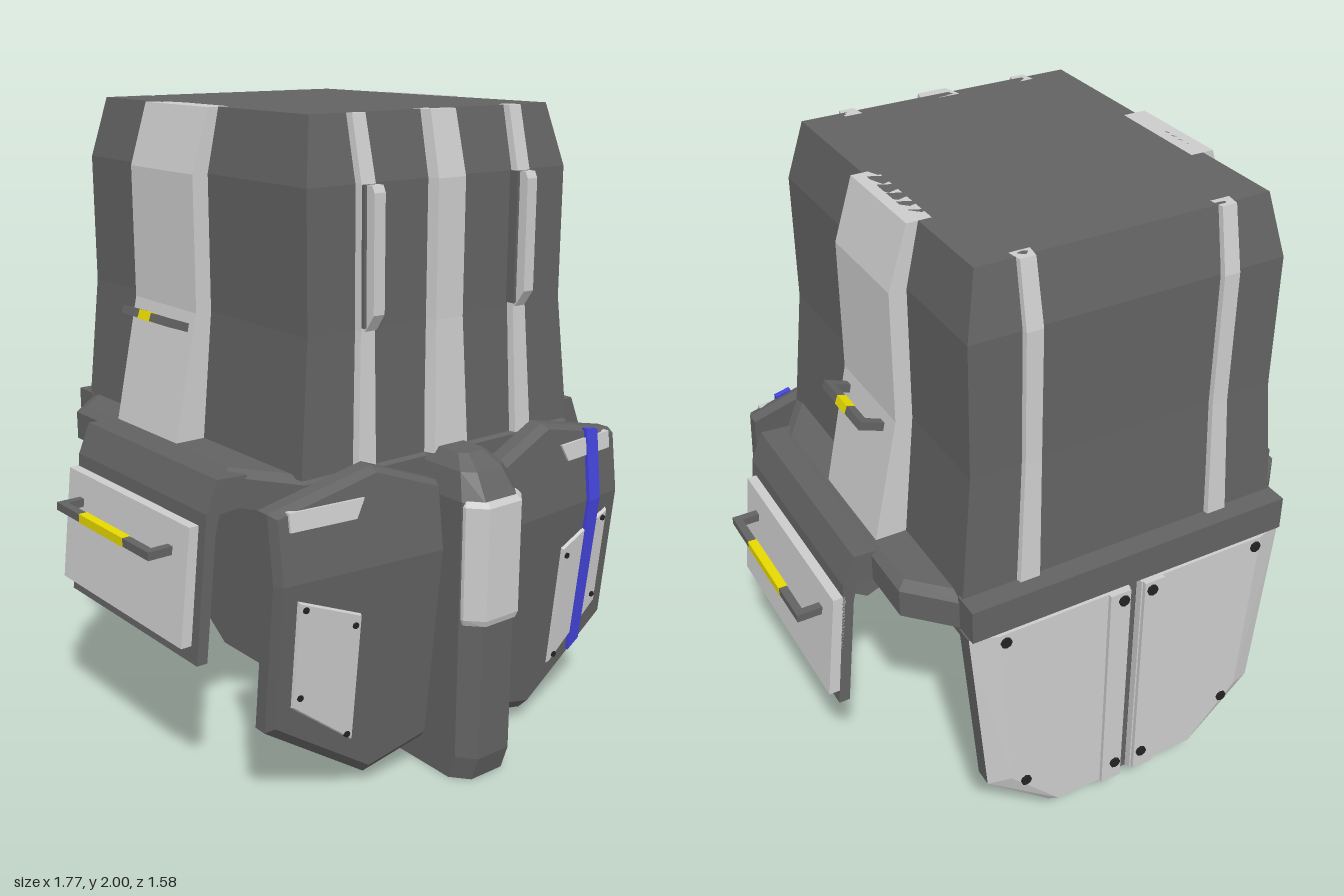
import * as THREE from 'three';

const mat = (color) => new THREE.MeshStandardMaterial({ color, flatShading: true });

// Solid through equal-sized rings of [x, y, z]; caps fan out from the ring centres (or given centres).
function loft(rings, centers = []) {
  const tris = [], n = rings[0].length;
  const mid = (r) => [0, 1, 2].map((k) => r.reduce((s, p) => s + p[k], 0) / n);
  for (let i = 0; i < rings.length - 1; i++) {
    for (let j = 0; j < n; j++) {
      const a = rings[i][j], b = rings[i][(j + 1) % n];
      const c = rings[i + 1][(j + 1) % n], d = rings[i + 1][j];
      tris.push([a, b, c], [a, c, d]);
    }
  }
  const first = rings[0], last = rings[rings.length - 1];
  const c0 = centers[0] || mid(first), c1 = centers[1] || mid(last);
  for (let j = 0; j < n; j++) {
    const k = (j + 1) % n;
    tris.push([c0, first[k], first[j]], [c1, last[j], last[k]]);
  }
  // a negative volume means the faces point inwards
  let volume = 0;
  for (const [a, b, c] of tris) {
    volume += a[0] * (b[1] * c[2] - b[2] * c[1]) + a[1] * (b[2] * c[0] - b[0] * c[2]) + a[2] * (b[0] * c[1] - b[1] * c[0]);
  }
  if (volume < 0) tris.forEach((t) => t.reverse());
  const g = new THREE.BufferGeometry();
  g.setAttribute('position', new THREE.Float32BufferAttribute(tris.flat(2), 3));
  g.computeVertexNormals();
  return g;
}

export function createModel() {
  const root = new THREE.Group();
  const model = new THREE.Group();
  model.name = 'pack';
  model.position.x = 0.012;
  root.add(model);
  const dark = mat(0x626262), light = mat(0xc0c0c0), black = mat(0x222222);
  const yellow = mat(0xe6d800), blue = mat(0x4444dd);

  const add = (name, geometry, material, parent = model) => {
    const m = new THREE.Mesh(geometry, material);
    m.name = name;
    parent.add(m);
    return m;
  };
  const bolt = (x, y, z, r) => {
    const m = add('bolt', new THREE.CylinderGeometry(r, r, 0.014, 8), black);
    m.rotation.x = Math.PI / 2;
    m.position.set(x, y, z);
  };

  // Tower: y, half width, back z, front z
  const levels = [[2, 0.455, -0.635, 0.455], [1.81, 0.497, -0.675, 0.5], [1.4, 0.497, -0.675, 0.5], [1, 0.535, -0.69, 0.52]];
  add('tower', loft(levels.map(([y, w, b, f]) => [[-w, y, b], [w, y, b], [w, y, f], [-w, y, f]])), dark);

  // Ribs running down the front and back faces of the tower
  const rib = (name, x, half, depth, back) => {
    const widen = [0.92, 1, 1, 1.25];
    add(name, loft(levels.map(([y, , b, f], i) => {
      const s = back ? -1 : 1, z = back ? b : f, h = half * widen[i], cx = x * (1 + 0.05 * (i === 3));
      return [[cx - h, y, z - s * 0.03], [cx + h, y, z - s * 0.03], [cx + h * 0.75, y, z + s * depth], [cx - h * 0.75, y, z + s * depth]];
    })), light);
  };
  rib('centreRib', 0, 0.07, 0.035, false);
  for (const s of [-1, 1]) {
    rib('frontRib', s * 0.3, 0.034, 0.022, false);
    rib('backRib', s * 0.31, 0.034, 0.016, true);
    // Thicker upper length of each front rib, in a thin dark surround
    add('ribFrame', new THREE.BoxGeometry(0.058, 0.4, 0.05), dark).position.set(s * 0.295, 1.61, 0.508);
    const pad = (y, z) => [[-0.02, y, 0.49], [0.02, y, 0.49], [0.02, y, z], [-0.02, y, z]];
    add('ribPad', loft([pad(1.81, 0.555), pad(1.79, 0.565), pad(1.45, 0.565), pad(1.4, 0.53)]), light).position.x = s * 0.295;
  }

  // Grab handle reaching out along local +x, with a coloured grip
  const handle = (s, x, y, z, length, reach, grip, tilt) => {
    const g = new THREE.Group();
    g.name = 'handle';
    const t = 0.026;
    add('bar', new THREE.BoxGeometry(t, t, length), dark, g).position.x = reach - t / 2;
    add('grip', new THREE.BoxGeometry(t * 1.1, t * 1.1, grip), yellow, g).position.x = reach - t / 2;
    for (const e of [-1, 1]) {
      add('leg', new THREE.BoxGeometry(reach, t, t), dark, g).position.set(reach / 2, 0, e * (length - t) / 2);
    }
    g.position.set(s * x, y, z);
    g.rotation.set(0, s < 0 ? Math.PI : 0, s * tilt, 'ZYX');
    model.add(g);
  };

  const sideWidths = [0.49, 0.55, 0.55, 0.635];
  for (const s of [-1, 1]) {
    // Broad raised band on each side of the tower
    add('sideBand', loft(levels.map(([y, w], i) => {
      const o = sideWidths[i];
      return [[s * (w - 0.04), y, 0.02], [s * o, y, 0.02], [s * o, y, -0.33], [s * (w - 0.04), y, -0.33]];
    })), light);
    handle(s, 0.54, 1.345, -0.14, 0.26, 0.1, 0.065, 0.35);

    // Hanging side bracket with its cover panel
    const along = (pts, z0, z1) => loft([z0, z1].map((z) => pts.map(([x, y]) => [s * x, y, z])));
    add('bracketTop', along([[0.62, 0.91], [0.62, 1], [0.72, 1.005], [0.76, 0.9], [0.73, 0.9]], -0.365, 0.375), dark);
    add('bracket', along([[0.69, 1], [0.72, 1.005], [0.76, 0.91], [0.805, 0.46], [0.77, 0.46], [0.725, 0.9]], -0.365, 0.375), dark);
    add('sidePanel', along([[0.755, 0.87], [0.795, 0.87], [0.835, 0.51], [0.795, 0.51]], -0.365, 0.34), light);
    handle(s, 0.8, 0.78, -0.015, 0.55, 0.085, 0.26, 0);
  }

  // Collar around the foot of the tower
  const collar = [[0.53, -0.69], [0.665, -0.55], [0.665, 0.32], [0.53, 0.53]];
  const outline = [...collar, ...collar.map(([x, z]) => [-x, z]).reverse()];
  add('collar', loft([[0.9, 1], [0.99, 1], [1.01, 0.96]].map(([y, k]) => outline.map(([x, z]) => [x * k, y, z * k]))), dark);

  // Narrow upright keel below the collar, cut off at its lower back corner
  const keel = [[0.5, 0], [-0.54, 0], [-0.69, 0.1], [-0.69, 0.92], [0.5, 0.92]];
  add('keel', loft([-0.108, 0.108].map((x) => keel.map(([z, y]) => [x, y, z]))), dark);

  // Front pillar and its cover
  const post = (y, w, front, k = 1, back = 0.45) => [[-w, y, back], [w, y, back], [w, y, front - 0.055 * k], [w * 0.58, y, front], [-w * 0.58, y, front], [-w, y, front - 0.055 * k]];
  add('pillar', loft([post(0, 0.108, 0.745), post(0.08, 0.108, 0.772), post(0.9, 0.108, 0.775), post(0.98, 0.085, 0.72, 0.6), post(1.02, 0.05, 0.66, 0.4)]), dark);
  add('pillarCover', loft([post(0.52, 0.105, 0.785, 0.9, 0.73), post(0.54, 0.112, 0.792, 0.9, 0.73), post(0.89, 0.112, 0.792, 0.9, 0.73), post(0.905, 0.1, 0.78, 0.9, 0.73)]), light);

  // Front plates, folded along y = 0.75; everything on them follows the same surface
  const surface = (x, y) => 0.68 - 0.1 * (x - 0.13) - (y > 0.75 ? 0.13 * (y - 0.75) : 0.11 * (0.75 - y));
  const onPlate = (s, pts, lift, depth, inset = 1, center) => {
    const c = center || [0, 1].map((k) => pts.reduce((t, p) => t + p[k], 0) / pts.length);
    const ring = (k, d) => pts.map(([x, y]) => {
      const px = c[0] + (x - c[0]) * k, py = c[1] + (y - c[1]) * k;
      return [s * px, py, surface(px, py) + d];
    });
    const cap = (d) => [s * c[0], c[1], surface(c[0], c[1]) + d];
    return loft([ring(1, lift - depth), ring(1, lift - depth * 0.4), ring(inset, lift)], [cap(lift - depth), cap(lift)]);
  };
  const plate = [[0.125, 0.95], [0.345, 1.03], [0.69, 0.95], [0.69, 0.75], [0.69, 0.28], [0.335, 0.04], [0.125, 0.1], [0.125, 0.75]];
  const cover = [[0.415, 0.61], [0.63, 0.7], [0.63, 0.36], [0.415, 0.19]];
  for (const s of [-1, 1]) {
    add('frontPlate', onPlate(s, plate, 0, 0.075, 0.95, [0.42, 0.75]), dark);
    add('frontVent', onPlate(s, [[0.4, 0.955], [0.645, 0.955], [0.645, 0.9], [0.43, 0.9]], 0.008, 0.02), light);
    add('frontCover', onPlate(s, cover, 0.01, 0.025, 0.97), light);
    for (const [x, y] of cover) {
      const bx = x + (x < 0.5 ? 0.022 : -0.022), by = y + (y > 0.5 ? -0.03 : 0.03);
      bolt(s * bx, by, surface(bx, by) + 0.008, 0.01);
    }
  }
  add('stripe', onPlate(1, [[0.525, 0.985], [0.58, 0.975], [0.575, 0.75], [0.565, 0.24], [0.515, 0.21], [0.52, 0.75]], 0.013, 0.02, 1, [0.547, 0.75]), blue);

  // Back: dark base, light plates with tapering sides, raised centre strips
  const backPlate = [[0.02, 0.9], [0.545, 0.9], [0.49, 0.29], [0.27, 0.1], [0.02, 0.1]];
  const backFace = [[0.02, 0.9], [0.46, 0.9], [0.42, 0.3], [0.25, 0.12], [0.02, 0.12]];
  for (const s of [-1, 1]) {
    const ring = (pts, z) => pts.map(([x, y]) => [s * x, y, z]);
    add('backBase', loft([ring(backPlate, -0.685), ring(backPlate, -0.742)]), dark);
    add('backPlate', loft([ring(backPlate, -0.742), ring(backFace, -0.768)]), light);
    add('backStrip', new THREE.BoxGeometry(0.07, 0.78, 0.03), light).position.set(s * 0.06, 0.51, -0.766);
    for (const [x, y, z] of [[0.05, 0.87, -0.782], [0.05, 0.19, -0.782], [0.44, 0.87, -0.768], [0.37, 0.27, -0.768]]) bolt(s * x, y, z, 0.018);
  }
  add('backRim', new THREE.BoxGeometry(1.08, 0.11, 0.085), dark).position.set(0, 0.955, -0.715);
  add('backSpine', new THREE.BoxGeometry(0.06, 0.8, 0.06), dark).position.set(0, 0.5, -0.71);

  return root;
}
